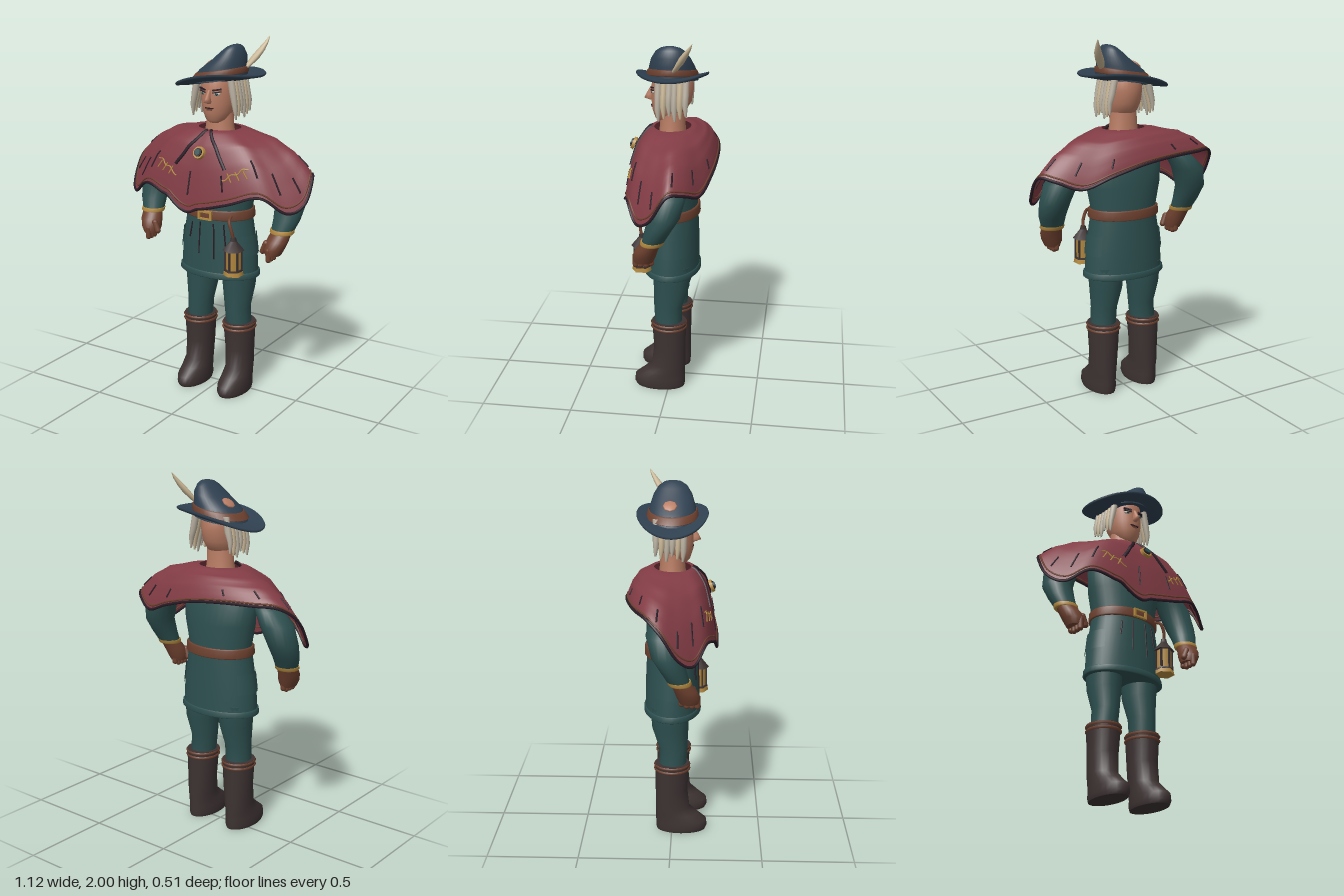
import * as THREE from 'three';

const mat = (name, color, side = THREE.FrontSide) => {
  const m = new THREE.MeshStandardMaterial({ color, side });
  m.name = name;
  return m;
};

// Loft of ellipses, each [y, rx, rz, cx, cz], listed upwards; warp may move each point
function loft(rings, seg = 28, warp = null) {
  const pos = [], idx = [], v = new THREE.Vector3();
  const put = (x, y, z) => {
    v.set(x, y, z);
    if (warp) warp(v);
    pos.push(v.x, v.y, v.z);
    return pos.length / 3 - 1;
  };
  const ring = ([y, rx, rz, cx = 0, cz = 0]) => {
    const start = pos.length / 3;
    for (let i = 0; i < seg; i++) {
      const a = (i / seg) * Math.PI * 2;
      put(cx + rx * Math.sin(a), y, cz + rz * Math.cos(a));
    }
    return start;
  };
  const starts = rings.map(ring);
  for (let j = 0; j < rings.length - 1; j++) for (let i = 0; i < seg; i++) {
    const k = (i + 1) % seg, a = starts[j], b = starts[j + 1];
    idx.push(a + i, a + k, b + k, a + i, b + k, b + i);
  }
  for (const top of [false, true]) {
    const r = rings[top ? rings.length - 1 : 0];
    const s = ring(r), c = put(r[3] || 0, r[0], r[4] || 0);
    for (let i = 0; i < seg; i++) {
      const k = (i + 1) % seg;
      if (top) idx.push(c, s + i, s + k); else idx.push(c, s + k, s + i);
    }
  }
  const g = new THREE.BufferGeometry();
  g.setAttribute('position', new THREE.Float32BufferAttribute(pos, 3));
  g.setIndex(idx);
  g.computeVertexNormals();
  return g;
}

// Cape surface: hem height every 20 degrees from the front, and a shoulder profile
const hemHeights = [1.10, 1.15, 1.20, 1.12, 1.16, 1.29, 1.28, 1.24, 1.30, 1.35, 1.37, 1.37, 1.36, 1.29, 1.16, 1.11, 1.19, 1.15];
const hemCurve = new THREE.CatmullRomCurve3(hemHeights.map((y, i) => new THREE.Vector3(i, y, 0)), true);
const shoulder = [[0.22, 1.51], [0.32, 1.505], [0.6, 1.45], [0.8, 1.36], [0.94, 1.26], [1, 1.2]];
function capePoint(a, f) {
  const turn = ((a / (Math.PI * 2)) % 1 + 1) % 1;
  let j = 0;
  while (j < shoulder.length - 2 && f > shoulder[j + 1][0]) j++;
  const [f0, y0] = shoulder[j], [f1, y1] = shoulder[j + 1];
  const y = y0 + (y1 - y0) * (f - f0) / (f1 - f0);
  const hem = hemCurve.getPoint(turn).y;
  return new THREE.Vector3(0.555 * f * Math.sin(a), y + (hem - 1.2) * f ** 3, 0.247 * f ** 0.6 * Math.cos(a));
}
function capeGeometry() {
  const seg = 96, rows = 16, pos = [], idx = [];
  for (let j = 0; j <= rows; j++) for (let i = 0; i < seg; i++)
    pos.push(...capePoint((i / seg) * Math.PI * 2, 1 - 0.78 * j / rows).toArray());
  for (let j = 0; j < rows; j++) for (let i = 0; i < seg; i++) {
    const k = (i + 1) % seg, a = j * seg, b = a + seg;
    idx.push(a + i, a + k, b + k, a + i, b + k, b + i);
  }
  const g = new THREE.BufferGeometry();
  g.setAttribute('position', new THREE.Float32BufferAttribute(pos, 3));
  g.setIndex(idx);
  g.computeVertexNormals();
  return g;
}
const tube = (pts, r, n = 24, closed = false) =>
  new THREE.TubeGeometry(new THREE.CatmullRomCurve3(pts, closed), n, r, 6, closed);
const span = (n, fn) => Array.from({ length: n + 1 }, (_, i) => fn(i / n));

export function createModel() {
  const model = new THREE.Group();
  const red = mat('cape red', 0x823c45, THREE.DoubleSide), teal = mat('tunic teal', 0x2e5050, THREE.DoubleSide);
  const navy = mat('hat navy', 0x2f4050), boot = mat('boot brown', 0x3d3232), leather = mat('leather', 0x6e412f);
  const skin = mat('skin', 0xb87c63), hair = mat('hair', 0xb9b0a0), gold = mat('gold', 0xb48a40);
  const dark = mat('dark trim', 0x2a1c26), cream = mat('feather cream', 0xc8b594);
  const add = (name, geo, m, x = 0, y = 0, z = 0) => {
    const mesh = new THREE.Mesh(geo, m);
    mesh.name = name;
    mesh.position.set(x, y, z);
    model.add(mesh);
    return mesh;
  };

  // Tunic with hem, creases, pockets and belt
  add('tunic', loft([[0.69, 0.235, 0.152], [0.85, 0.225, 0.15], [1.0, 0.2, 0.143], [1.08, 0.195, 0.14],
    [1.2, 0.22, 0.145], [1.34, 0.23, 0.13], [1.44, 0.14, 0.09], [1.48, 0.07, 0.06]], 36), teal);
  add('tunicHem', loft([[0.685, 0.238, 0.155], [0.69, 0.244, 0.16], [0.715, 0.242, 0.159], [0.72, 0.235, 0.153]], 36), teal);
  for (const [x, y0, y1] of [[-0.04, 0.82, 1.0], [0.045, 0.8, 1.0], [0.1, 0.88, 1.0], [-0.1, 0.9, 0.99]])
    add('tunicCrease', tube([[x, y1, 0.145 * Math.sqrt(1 - (x / 0.2) ** 2)], [x * 1.15, y0, 0.151 * Math.sqrt(1 - (x / 0.2) ** 2)]]
      .map(p => new THREE.Vector3(...p)), 0.004, 4), dark);
  add('belt', loft([[1.02, 0.204, 0.15], [1.026, 0.209, 0.155], [1.068, 0.207, 0.153], [1.074, 0.2, 0.147]], 36), leather);
  for (const [w, h, x, y] of [[0.085, 0.01, 0, 0.02], [0.085, 0.01, 0, -0.02], [0.012, 0.045, 0.037, 0], [0.012, 0.045, -0.037, 0]])
    add('buckle', new THREE.BoxGeometry(w, h, 0.015), gold, x, 1.045 + y, 0.156);

  // Both sides: legs, boots, arms, gloves, hair
  for (const s of [-1, 1]) {
    const side = rings => loft(rings.map(([y, rx, rz, cx, cz]) => [y, rx, rz, s * cx, cz]), 24);
    const pocket = add('pocket', new THREE.CylinderGeometry(0.221, 0.234, 0.11, 12, 1, true, s * Math.PI / 2 - 0.6, 1.2), teal, 0, 0.875, 0);
    pocket.scale.z = 0.67;
    add('leg', side([[0.38, 0.07, 0.075, 0.13, 0.005], [0.5, 0.072, 0.08, 0.122, 0.008], [0.62, 0.09, 0.1, 0.12, -0.01],
      [0.75, 0.1, 0.11, 0.12, -0.01]]), teal);
    add('boot', side([[0, 0.076, 0.138, 0.135, 0.052], [0.02, 0.082, 0.145, 0.135, 0.055], [0.06, 0.08, 0.143, 0.135, 0.053],
      [0.1, 0.076, 0.118, 0.135, 0.028], [0.14, 0.075, 0.096, 0.135, 0.004], [0.25, 0.08, 0.09, 0.132, -0.002],
      [0.41, 0.09, 0.097, 0.13, 0.002]]), boot);
    for (const y of [0.375, 0.4])
      add('bootBand', side([[y - 0.008, 0.088, 0.095, 0.13, 0.002], [y, 0.096, 0.103, 0.13, 0.002], [y + 0.008, 0.09, 0.097, 0.13, 0.002]]), leather);
    add('sleeve', side([[1.0, 0.062, 0.058, 0.42, 0.045], [1.06, 0.074, 0.068, 0.432, 0.02], [1.14, 0.083, 0.083, 0.435, -0.015],
      [1.25, 0.092, 0.092, 0.405, -0.035], [1.32, 0.075, 0.075, 0.35, -0.03], [1.37, 0.04, 0.04, 0.29, -0.02]]), teal);
    add('cuff', side([[0.985, 0.062, 0.058, 0.42, 0.052], [0.992, 0.067, 0.063, 0.42, 0.05], [1.008, 0.067, 0.063, 0.42, 0.045]]), gold);
    add('glove', side([[0.875, 0.042, 0.05, 0.395, 0.1], [0.91, 0.055, 0.062, 0.4, 0.095], [0.95, 0.06, 0.06, 0.41, 0.08],
      [1.0, 0.055, 0.052, 0.42, 0.05]]), leather);
    for (let i = 0; i < 4; i++)
      add('finger', new THREE.CapsuleGeometry(0.016, 0.05, 4, 8), leather, s * 0.39, 0.88 - (i === 3 ? -0.012 : 0), 0.143 - i * 0.028);
    const thumb = add('thumb', new THREE.CapsuleGeometry(0.017, 0.05, 4, 8), leather, s * 0.352, 0.915, 0.12);
    thumb.rotation.z = s * -0.4;
    for (let i = 0; i < 6; i++) {
      const z = 0.062 - i * 0.029, low = 1.57 + (i % 3) * 0.014;
      add('hairLock', loft([[low, 0.004, 0.006, s * 0.135, z - 0.004], [low + 0.06, 0.015, 0.016, s * 0.133, z],
        [1.71, 0.02, 0.019, s * 0.118, z], [1.79, 0.02, 0.019, s * 0.102, z]], 8), i % 3 === 1 ? cream : hair);
    }
    // Face, one side
    const eye = add('eye', new THREE.SphereGeometry(1, 14, 8), hair, s * 0.043, 1.705, 0.1);
    eye.scale.set(0.02, 0.009, 0.008);
    eye.rotation.y = s * 0.4;
    const iris = add('iris', new THREE.SphereGeometry(1, 10, 8), teal, s * 0.042, 1.705, 0.105);
    iris.scale.set(0.009, 0.009, 0.006);
    for (const [name, y, t] of [['brow', 1.727, 0.008], ['eyelid', 1.714, 0.005]]) {
      const line = add(name, new THREE.BoxGeometry(0.048, t, 0.009), dark, s * 0.044, y, 0.104);
      line.rotation.set(0, s * 0.4, s * 0.15);
    }
    const ear = add('ear', new THREE.SphereGeometry(1, 10, 8), skin, s * 0.098, 1.68, -0.005);
    ear.scale.set(0.012, 0.03, 0.02);
  }

  // Head and neck
  add('neck', loft([[1.46, 0.09, 0.075], [1.53, 0.078, 0.068], [1.62, 0.075, 0.066]]), skin);
  add('head', loft([[1.543, 0.03, 0.03, 0, 0.05], [1.56, 0.058, 0.06, 0, 0.035], [1.6, 0.08, 0.09, 0, 0.018],
    [1.65, 0.093, 0.108, 0, 0.006], [1.72, 0.099, 0.114], [1.8, 0.095, 0.108], [1.84, 0.06, 0.07]], 32), skin);
  add('nose', loft([[1.652, 0.01, 0.01, 0, 0.115], [1.662, 0.018, 0.03, 0, 0.124], [1.68, 0.013, 0.023, 0, 0.122],
    [1.725, 0.009, 0.012, 0, 0.108]], 10), skin);
  add('mouth', new THREE.BoxGeometry(0.05, 0.006, 0.009), dark, 0, 1.627, 0.109);
  add('lowerLip', new THREE.BoxGeometry(0.034, 0.009, 0.009), leather, 0, 1.619, 0.107);

  // Hat: tilted brim curling up front and back, leaning crown, band, bare patch
  const tilt = v => { v.y += 0.165 * v.x; };
  const curl = v => { v.y += 0.165 * v.x + 1.1 * v.z * v.z; };
  add('hatBrim', loft([[1.752, 0.13, 0.11], [1.755, 0.2, 0.155], [1.757, 0.255, 0.188], [1.764, 0.262, 0.193], [1.771, 0.257, 0.19],
    [1.773, 0.2, 0.155], [1.778, 0.14, 0.12]], 48, curl), navy);
  add('hatCrown', loft([[1.765, 0.157, 0.136], [1.79, 0.154, 0.134], [1.835, 0.13, 0.122, 0.02], [1.88, 0.09, 0.105, 0.06],
    [1.92, 0.052, 0.078, 0.08], [1.938, 0.032, 0.05, 0.087], [1.945, 0.012, 0.02, 0.09]], 36, tilt), navy);
  add('hatBand', loft([[1.788, 0.156, 0.136], [1.792, 0.16, 0.14], [1.818, 0.146, 0.132, 0.013], [1.822, 0.138, 0.127, 0.014]], 36, tilt), leather);
  const patch = add('hatPatch', new THREE.SphereGeometry(1, 8, 6), skin, -0.064, 1.851, -0.012);
  patch.scale.set(0.039, 0.01, 0.039);
  patch.rotation.z = 0.63;
  add('feather', loft([[1.82, 0.005, 0.005, 0.135, -0.01], [1.85, 0.018, 0.014, 0.155, -0.035], [1.89, 0.025, 0.02, 0.18, -0.062],
    [1.93, 0.021, 0.02, 0.203, -0.085], [1.97, 0.011, 0.012, 0.22, -0.112], [2.0, 0.002, 0.002, 0.229, -0.13]], 10), cream);

  // Cape with hem trim, folds, stitched sprigs, cords and brooch
  add('cape', capeGeometry(), red);
  const ring = f => span(71, t => capePoint(t * Math.PI * 2 * 71 / 72, f));
  add('capeHem', tube(ring(1), 0.008, 216, true), dark);
  add('capePiping', tube(ring(0.975), 0.005, 216, true), leather);
  for (const [a, f0, f1] of [[-0.12, 0.8, 0.93], [0.3, 0.84, 0.94], [-0.75, 0.76, 0.9], [-1.05, 0.8, 0.92], [0.75, 0.74, 0.88],
    [1.05, 0.8, 0.92], [1.4, 0.86, 0.95], [-1.4, 0.86, 0.95], [1.85, 0.84, 0.95], [-1.85, 0.84, 0.95], [2.3, 0.82, 0.93],
    [-2.3, 0.82, 0.93], [2.75, 0.84, 0.94], [-2.75, 0.84, 0.94]])
    add('capeFold', tube(span(8, t => capePoint(a, f0 + (f1 - f0) * t)), 0.005, 16), dark);
  for (const s of [-1, 1]) {
    add('cord', tube(span(12, t => capePoint(s * (0.08 + 0.27 * t), 0.25 + 0.56 * t)), 0.01, 30), dark);
    add('sprigStem', tube(span(14, t => capePoint(s * (0.3 + 0.36 * t), 0.87 - 0.05 * t + 0.008 * Math.sin(t * 14))), 0.004, 40), gold);
    for (let i = 0; i < 3; i++) {
      const a = 0.38 + i * 0.1;
      add('sprigLeaf', tube(span(3, t => capePoint(s * (a + 0.03 * t), 0.83 + 0.06 * t)), 0.004, 6), gold);
    }
  }
  const brooch = new THREE.Group();
  brooch.name = 'brooch';
  for (const [r, z, m] of [[0.036, 0, gold], [0.025, 0.006, dark], [0.018, 0.011, teal]]) {
    const disc = new THREE.Mesh(new THREE.CylinderGeometry(r * 0.9, r, 0.016, 20), m);
    disc.name = 'broochDisc';
    disc.rotation.x = Math.PI / 2;
    disc.position.z = z;
    brooch.add(disc);
  }
  brooch.position.set(0, 1.405, 0.213);
  brooch.rotation.x = -0.4;
  model.add(brooch);

  // Lantern hanging from the belt
  const lx = 0.175, lz = 0.145;
  add('lanternStrap', tube([[0.14, 1.05, 0.112], [0.15, 1.03, 0.15], [0.168, 0.98, 0.155], [lx, 0.93, lz]].map(p => new THREE.Vector3(...p)), 0.009), leather);
  add('lanternGlass', new THREE.CylinderGeometry(0.043, 0.043, 0.12, 6), gold, lx, 0.815, lz);
  add('lanternRoof', new THREE.CylinderGeometry(0.016, 0.06, 0.055, 6), boot, lx, 0.9, lz);
  add('lanternCap', new THREE.CylinderGeometry(0.014, 0.018, 0.02, 6), boot, lx, 0.935, lz);
  add('lanternBase', new THREE.CylinderGeometry(0.052, 0.056, 0.022, 6), gold, lx, 0.743, lz);
  add('lanternRim', new THREE.CylinderGeometry(0.05, 0.052, 0.01, 6), boot, lx, 0.76, lz);
  for (let i = 0; i < 6; i++) {
    const a = (i / 6) * Math.PI * 2;
    add('lanternPost', new THREE.BoxGeometry(0.01, 0.12, 0.01), boot, lx + 0.043 * Math.sin(a), 0.815, lz + 0.043 * Math.cos(a));
  }
  return model;
}
